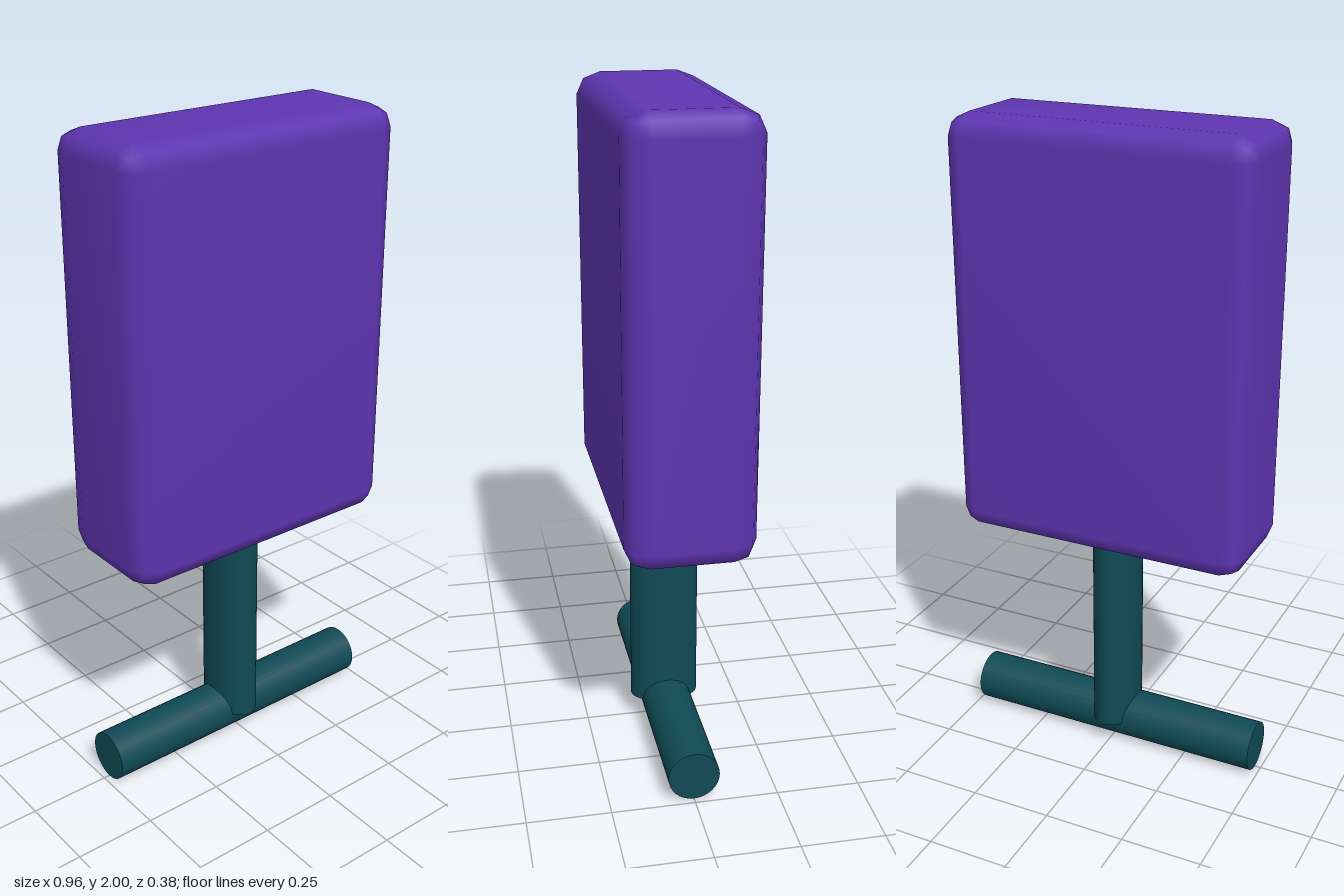
import * as THREE from 'three';
import { mergeVertices } from 'three/addons/utils/BufferGeometryUtils.js';
import { ConvexGeometry } from 'three/addons/geometries/ConvexGeometry.js';

// Box with two-step bevelled edges: the hull of a coarse sphere octant at every corner
function bevelledBox(half, bevel) {
  const points = [];
  for (const sx of [-1, 1]) for (const sy of [-1, 1]) for (const sz of [-1, 1]) {
    for (let i = 1; i < 8; i++) {
      const d = new THREE.Vector3(i & 1, (i >> 1) & 1, i >> 2).normalize();
      const corner = half.clone().sub(bevel).add(d.multiply(bevel));
      points.push(corner.multiply(new THREE.Vector3(sx, sy, sz)));
    }
  }
  const hull = new ConvexGeometry(points);
  hull.deleteAttribute('normal');
  const geometry = mergeVertices(hull, 1e-5);
  geometry.computeVertexNormals();
  return geometry;
}

export function createModel() {
  const purple = new THREE.MeshStandardMaterial({ color: 0x5e35b1 });
  purple.name = 'purple';
  const teal = new THREE.MeshStandardMaterial({ color: 0x104a55 });
  teal.name = 'dark teal';

  const model = new THREE.Group();
  model.name = 'model';
  const add = (name, geometry, material, y) => {
    const mesh = new THREE.Mesh(geometry, material);
    mesh.name = name;
    mesh.position.y = y;
    model.add(mesh);
  };

  // Tall bevelled block on top
  add('block', bevelledBox(new THREE.Vector3(0.46, 0.633, 0.19), new THREE.Vector3(0.06, 0.065, 0.072)), purple, 1.367);

  // Oval stem reaching into the block
  add('stem', new THREE.CylinderGeometry(1, 1, 0.75, 32).scale(0.07, 1, 0.107), teal, 0.455);

  // Round bar lying crosswise at the foot
  add('footBar', new THREE.CylinderGeometry(0.077, 0.077, 0.96, 32).rotateZ(Math.PI / 2), teal, 0.077);

  return model;
}
